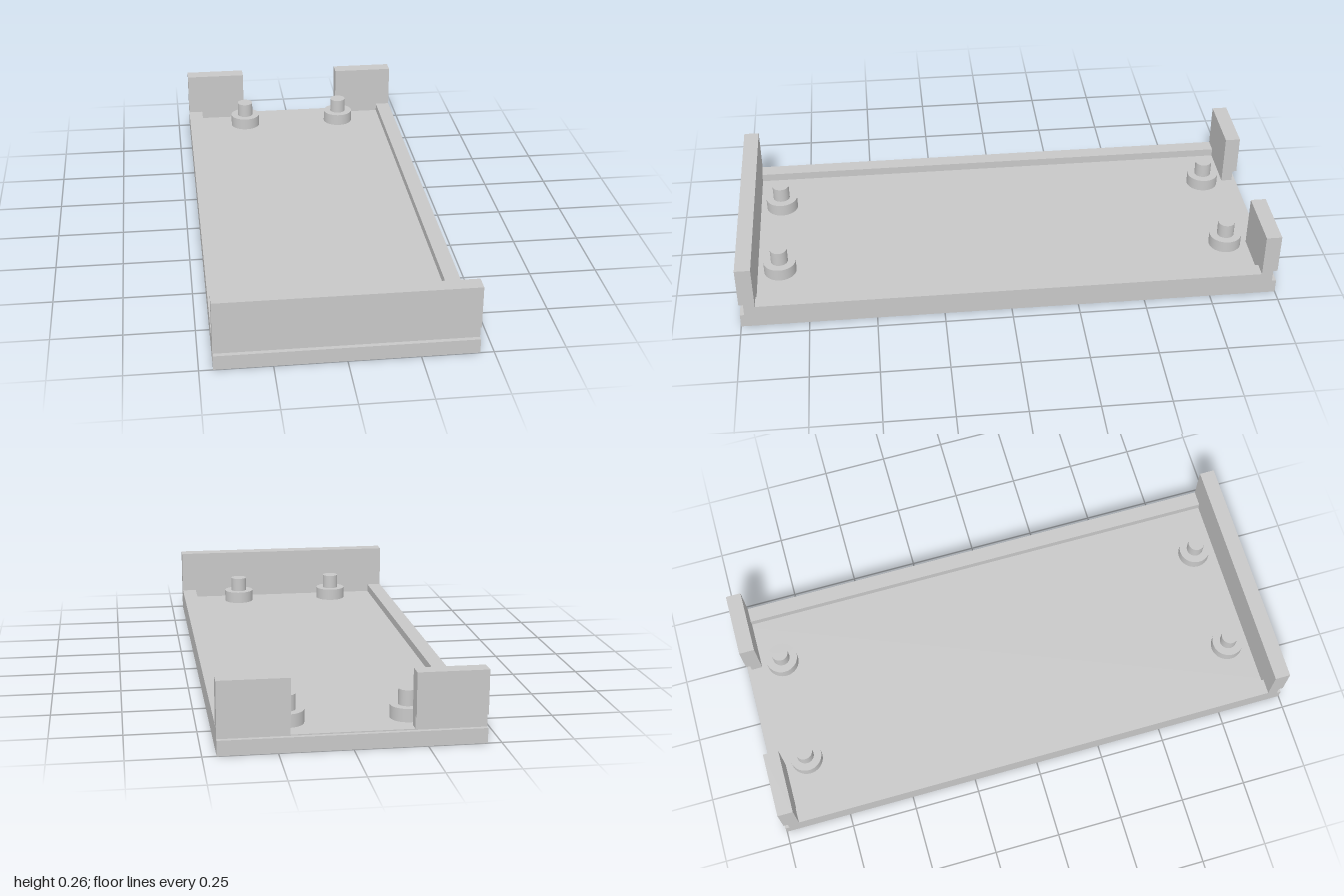
import * as THREE from 'three';

const W = 0.904, HALF = W / 2;      // tray width
const SLAB = 0.053, FLOOR = 0.057;  // slab top (groove bottom) and inner floor
const INNER = 0.942, NECK = 0.984;  // end wall inner face and groove face

export function createModel() {
  const model = new THREE.Group();
  model.name = 'tray';
  const grey = new THREE.MeshStandardMaterial({ color: 0xc8c8c8 });
  grey.name = 'light grey plastic';

  const add = (name, geometry, x = 0, y = 0, z = 0) => {
    const mesh = new THREE.Mesh(geometry, grey);
    mesh.name = name;
    mesh.position.set(x, y, z);
    model.add(mesh);
  };
  const box = (name, x0, x1, y0, y1, z0, z1) =>
    add(name, new THREE.BoxGeometry(x1 - x0, y1 - y0, z1 - z0),
      (x0 + x1) / 2, (y0 + y1) / 2, (z0 + z1) / 2);

  // Base slab and the slightly raised inner floor
  box('baseSlab', -HALF, HALF, 0, SLAB, -1, 1);
  box('innerFloor', -0.396, 0.396, SLAB, FLOOR, -NECK, NECK);

  // Low side rims
  box('leftRim', 0.395, HALF, SLAB, 0.088, -INNER, INNER);
  box('rightRim', -HALF, -0.395, SLAB, 0.088, -INNER, INNER);

  // End walls: profile with an outer groove, extruded across x
  const profile = new THREE.Shape([
    [INNER, SLAB], [NECK, SLAB], [NECK, 0.1], [1, 0.1], [1, 0.256], [INNER, 0.256],
  ].map(([z, y]) => new THREE.Vector2(z, y)));
  const endWall = (name, x, width, side) => {
    const geometry = new THREE.ExtrudeGeometry(profile, { depth: width, bevelEnabled: false });
    geometry.translate(0, 0, -width / 2).rotateY(-side * Math.PI / 2);
    add(name, geometry, x);
  };
  const gap = 0.208; // half width of the opening at the back
  endWall('frontWall', 0, W, 1);
  endWall('backWallLeft', (HALF + gap) / 2, HALF - gap, -1);
  endWall('backWallRight', -(HALF + gap) / 2, HALF - gap, -1);

  // Four standoffs, each a wide collar with a pin
  const collarTop = 0.104, pinTop = 0.16;
  for (const x of [-0.207, 0.207]) {
    for (const z of [-0.857, 0.857]) {
      add('standoffCollar', new THREE.CylinderGeometry(0.061, 0.061, collarTop - SLAB, 48),
        x, (collarTop + SLAB) / 2, z);
      add('standoffPin', new THREE.CylinderGeometry(0.032, 0.032, pinTop - collarTop, 40),
        x, (pinTop + collarTop) / 2, z);
    }
  }
  return model;
}
